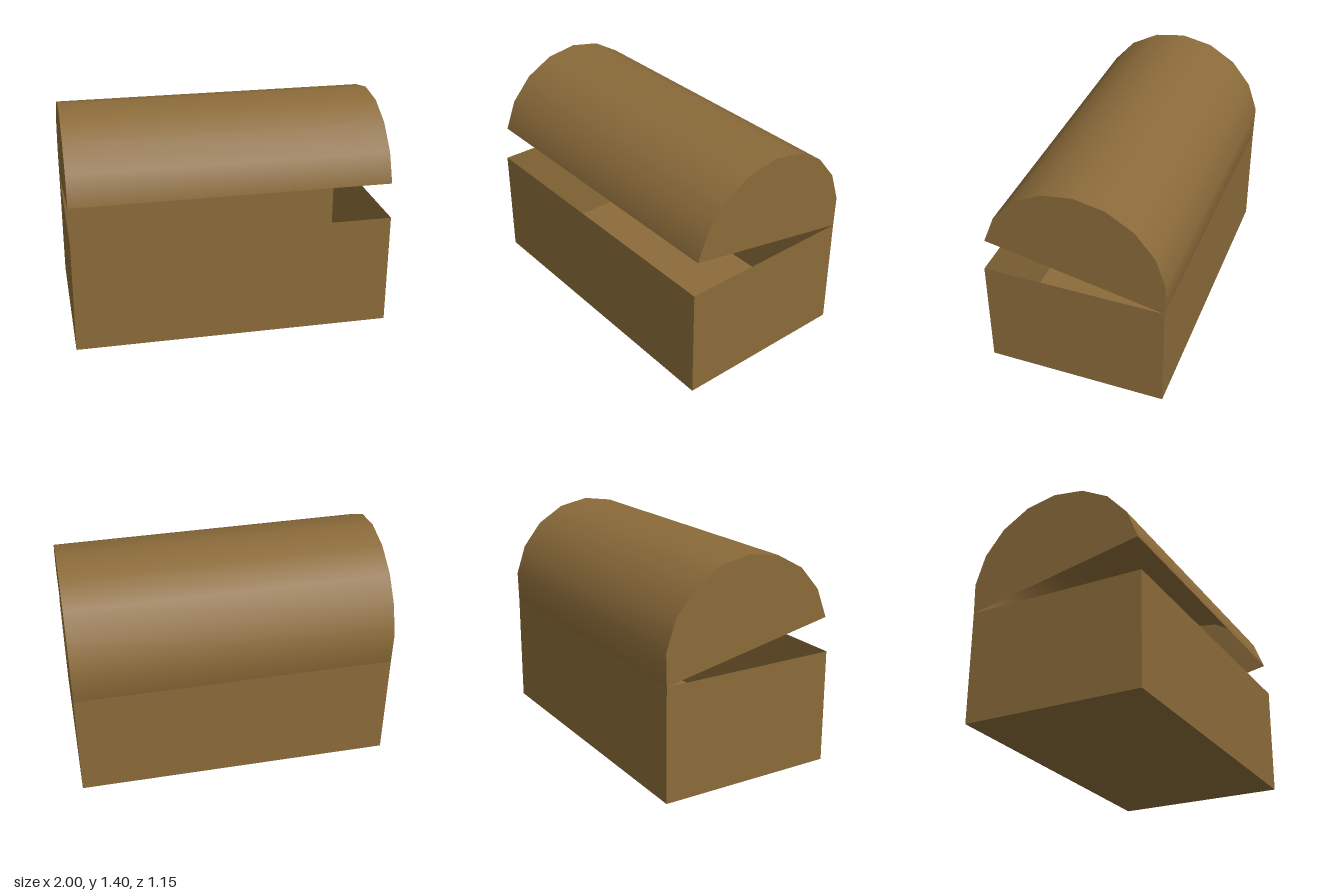
import * as THREE from 'three';

const WIDTH = 2;
const BASE_HEIGHT = 0.718;
const BASE_DEPTH = 1.142;
const LID_RADIUS = BASE_DEPTH / 2;
const LID_ANGLE = 0.196; // how far the lid stands open

export function createModel() {
  const chest = new THREE.Group();
  chest.name = 'chest';

  // thin open shells, so both sides show
  const wood = new THREE.MeshStandardMaterial({ color: 0x8b6b3a, side: THREE.DoubleSide });
  wood.name = 'brown wood';

  // open-topped base: a box without its top face (indices 12 to 17)
  const baseGeometry = new THREE.BoxGeometry(WIDTH, BASE_HEIGHT, BASE_DEPTH);
  const faces = Array.from(baseGeometry.index.array);
  faces.splice(12, 6);
  baseGeometry.setIndex(faces);
  baseGeometry.clearGroups();
  const base = new THREE.Mesh(baseGeometry, wood);
  base.name = 'base';
  base.position.set(0, BASE_HEIGHT / 2, 0.003);
  chest.add(base);

  // hinge along the top back edge of the base
  const hinge = new THREE.Group();
  hinge.name = 'lidHinge';
  hinge.position.set(0, BASE_HEIGHT, 0.003 - BASE_DEPTH / 2);
  hinge.rotation.x = -LID_ANGLE;
  chest.add(hinge);

  // barrel lid: half cylinder with end panels, open underneath
  const lidGeometry = new THREE.CylinderGeometry(LID_RADIUS, LID_RADIUS, WIDTH, 9, 1, false, 0, Math.PI);
  lidGeometry.rotateZ(Math.PI / 2);
  const lid = new THREE.Mesh(lidGeometry, wood);
  lid.name = 'lid';
  lid.position.z = LID_RADIUS;
  hinge.add(lid);

  return chest;
}
